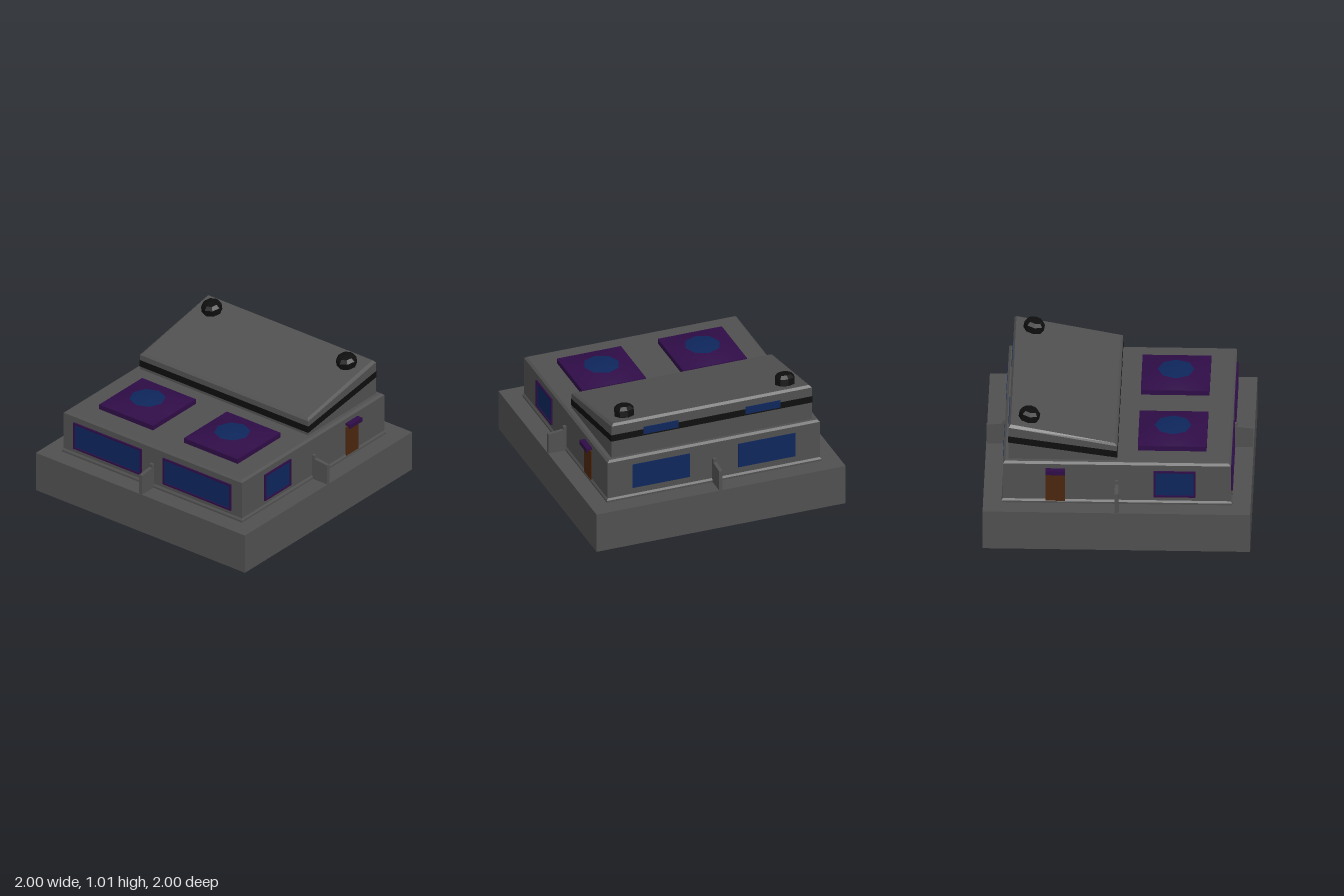
import * as THREE from 'three';

const mat = (name, color) => {
  const m = new THREE.MeshStandardMaterial({ color });
  m.name = name;
  return m;
};

// Hard-edged facets
function facet(geo) {
  const g = geo.index ? geo.toNonIndexed() : geo;
  g.computeVertexNormals();
  return g;
}

// Loft through four-cornered loops: [halfWidth, zFront, zBack, yFront, yBack]
function loft(levels, capped = true) {
  const pos = [], idx = [];
  for (const [w, zf, zb, yf, yb] of levels)
    pos.push(-w, yf, zf, w, yf, zf, w, yb, zb, -w, yb, zb);
  for (let l = 0; l < levels.length - 1; l++)
    for (let i = 0; i < 4; i++) {
      const a = l * 4 + i, b = l * 4 + (i + 1) % 4;
      idx.push(a, b, b + 4, a, b + 4, a + 4);
    }
  if (capped) {
    const t = (levels.length - 1) * 4;
    idx.push(t, t + 1, t + 2, t, t + 2, t + 3, 0, 2, 1, 0, 3, 2);
  }
  const g = new THREE.BufferGeometry();
  g.setAttribute('position', new THREE.Float32BufferAttribute(pos, 3));
  g.setIndex(idx);
  return facet(g);
}

export function createModel() {
  const concrete = mat('concrete grey', 0x505050);
  const purple = mat('purple trim', 0x2f0d47);
  const glass = mat('blue glass', 0x0e265c);
  const brown = mat('brown door', 0x4a260f);
  const black = mat('black', 0x0e0e0e);

  const model = new THREE.Group();
  model.name = 'building';
  const add = (name, geo, material, parent = model) => {
    const m = new THREE.Mesh(geo, material);
    m.name = name;
    parent.add(m);
    return m;
  };
  const box = (name, size, at, material, parent = model) => {
    const m = add(name, new THREE.BoxGeometry(...size), material, parent);
    m.position.set(...at);
    return m;
  };

  // Foundation and main hall with plinth and bevelled roof edge
  box('foundation', [2, 0.32, 2], [0, 0.16, 0], concrete);
  const hall = [[0.862, 0.315], [0.862, 0.335], [0.852, 0.35], [0.852, 0.652], [0.835, 0.667]];
  add('mainHall', loft(hall.map(([r, y]) => [r, r, -r, y, y])), concrete);

  // Sloped upper block with a dark band
  add('upperBlock', loft([
    [0.805, 0, -0.81, 0.66, 0.66],
    [0.805, 0, -0.81, 0.787, 0.935],
    [0.785, -0.018, -0.795, 0.803, 0.953],
  ]), concrete);
  add('upperBand', loft([
    [0.808, 0.003, -0.813, 0.69, 0.808],
    [0.808, 0.003, -0.813, 0.745, 0.862],
  ], false), black);

  // Framed window facing +z, centred on its own origin
  function framedWindow(name, w, h) {
    const g = new THREE.Group();
    g.name = name;
    const rect = (target, a, b) => target.moveTo(-a, -b).lineTo(a, -b).lineTo(a, b).lineTo(-a, b).closePath();
    const shape = rect(new THREE.Shape(), w / 2, h / 2);
    shape.holes.push(rect(new THREE.Path(), w / 2 - 0.014, h / 2 - 0.014));
    add('windowFrame', new THREE.ExtrudeGeometry(shape, { depth: 0.014, bevelEnabled: false }), purple, g);
    box('windowPane', [w - 0.02, h - 0.02, 0.006], [0, 0, 0.003], glass, g);
    model.add(g);
    return g;
  }

  // Lid of a skylight swells toward its centre
  const half = 0.257;
  function swell(geo, lift) {
    geo.rotateX(-Math.PI / 2);
    const p = geo.attributes.position;
    for (let i = 0; i < p.count; i++) {
      const u = p.getX(i) / half, v = p.getZ(i) / half;
      p.setY(i, lift + 0.042 * (1 - u * u) * (1 - v * v));
    }
    geo.computeVertexNormals();
    return geo;
  }

  // Roof vent, eight-sided
  const ventProfile = [[0, -0.03], [0.07, -0.03], [0.078, -0.02], [0.078, 0.03], [0.055, 0.055], [0, 0.06]]
    .map(([x, y]) => new THREE.Vector2(x, y));

  // Buttress profile: distance from centre, height
  const buttress = new THREE.Shape([[0.84, 0.31], [0.997, 0.31], [0.997, 0.482], [0.876, 0.495], [0.876, 0.522], [0.84, 0.522]]
    .map(([x, y]) => new THREE.Vector2(x, y)));
  for (let i = 0; i < 4; i++) {
    const geo = new THREE.ExtrudeGeometry(buttress, { depth: 0.028, bevelEnabled: false });
    geo.translate(0, 0, -0.014);
    add('buttress', geo, concrete).rotation.y = i * Math.PI / 2;
  }

  // Everything that repeats on the left and right
  for (const s of [1, -1]) {
    framedWindow('frontWindow', 0.652, 0.222).position.set(s * 0.427, 0.494, 0.85);
    const side = framedWindow('sideWindow', 0.312, 0.222);
    side.position.set(s * 0.85, 0.494, 0.43);
    side.rotation.y = s * Math.PI / 2;

    box('backWindow', [0.46, 0.2, 0.008], [s * 0.425, 0.5, -0.853], glass);
    box('upperBackWindow', [0.28, 0.06, 0.009], [s * 0.41, 0.85, -0.812], glass);

    // Side door with canopy
    box('door', [0.02, 0.262, 0.145], [s * 0.85, 0.451, -0.46], brown);
    box('doorCanopy', [0.05, 0.018, 0.145], [s * 0.872, 0.607, -0.46], purple);
    box('canopyLip', [0.014, 0.034, 0.145], [s * 0.89, 0.599, -0.46], purple);

    // Skylight
    const sky = new THREE.Group();
    sky.name = 'skylight';
    sky.position.set(s * 0.405, 0.66, 0.408);
    model.add(sky);
    box('skylightCurb', [half * 2, 0.046, half * 2], [0, 0.023, 0], purple, sky);
    add('skylightDome', swell(new THREE.PlaneGeometry(half * 2, half * 2, 8, 8), 0.0465), purple, sky);
    add('skylightGlass', swell(new THREE.RingGeometry(0, 0.137, 8, 3), 0.05), glass, sky);

    const vent = add('roofVent', facet(new THREE.LatheGeometry(ventProfile, 8)), black);
    vent.position.set(s * 0.645, 0.95, -0.66);
    vent.rotation.x = 0.19;
  }
  return model;
}
